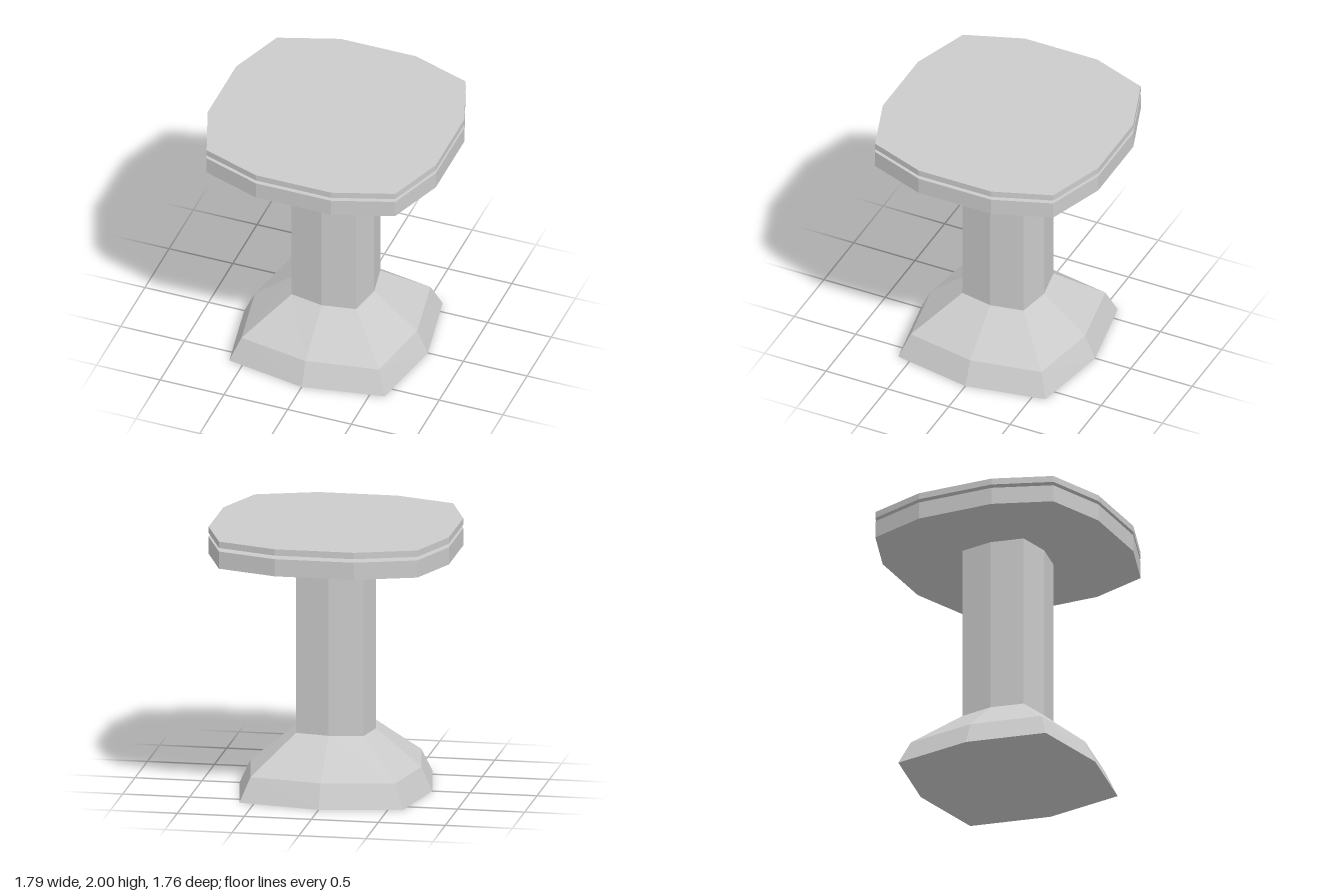
import * as THREE from 'three';

const material = new THREE.MeshStandardMaterial({ color: 0xcccccc, flatShading: true });

// Bulged square: each side bends outward at its middle (8 points)
function bulgedSquare(midX, cornerX, midZ, cornerZ) {
  return [
    [midX, 0], [cornerX, cornerZ], [0, midZ], [-cornerX, cornerZ],
    [-midX, 0], [-cornerX, -cornerZ], [0, -midZ], [cornerX, -cornerZ],
  ];
}

// Mirrors one quadrant of points, listed from +x to +z, to all four quadrants
function mirrorQuadrant(points) {
  const back = [...points].reverse();
  return [
    ...points,
    ...back.map(([x, z]) => [-x, z]),
    ...points.map(([x, z]) => [-x, -z]),
    ...back.map(([x, z]) => [x, -z]),
  ];
}

// Closed solid through rings stacked from bottom to top
function loft(name, levels) {
  const positions = [];
  const add = (...corners) => corners.forEach((c) => positions.push(...c));
  const rings = levels.map(({ y, ring }) => ring.map(([x, z]) => [x, y, z]));
  const count = rings[0].length;
  const first = levels[0].y;
  const last = levels[levels.length - 1].y;
  for (let i = 0; i < count; i++) {
    const j = (i + 1) % count;
    for (let k = 0; k < rings.length - 1; k++) {
      const lower = rings[k], upper = rings[k + 1];
      add(lower[i], upper[i], upper[j]);
      add(lower[i], upper[j], lower[j]);
    }
    const top = rings[rings.length - 1];
    add([0, first, 0], rings[0][i], rings[0][j]);
    add([0, last, 0], top[j], top[i]);
  }
  const geometry = new THREE.BufferGeometry();
  geometry.setAttribute('position', new THREE.Float32BufferAttribute(positions, 3));
  geometry.computeVertexNormals();
  const mesh = new THREE.Mesh(geometry, material);
  mesh.name = name;
  return mesh;
}

export function createModel() {
  const model = new THREE.Group();
  model.name = 'pedestalTable';

  const columnRing = bulgedSquare(0.3, 0.253, 0.295, 0.249);
  const topRing = mirrorQuadrant([[0.896, 0.295], [0.74, 0.725], [0.296, 0.878]]);

  // Flared foot
  model.add(loft('base', [
    { y: 0, ring: bulgedSquare(0.72, 0.61, 0.71, 0.6) },
    { y: 0.18, ring: bulgedSquare(0.637, 0.54, 0.628, 0.532) },
    { y: 0.458, ring: columnRing },
  ]));

  // Straight shaft
  model.add(loft('column', [
    { y: 0.458, ring: columnRing },
    { y: 1.795, ring: columnRing },
  ]));

  // Two stacked slabs with an open gap between them
  model.add(loft('tableTop', [
    { y: 1.795, ring: topRing },
    { y: 1.925, ring: topRing },
  ]));
  model.add(loft('topPlate', [
    { y: 1.952, ring: topRing },
    { y: 2, ring: topRing },
  ]));

  return model;
}
